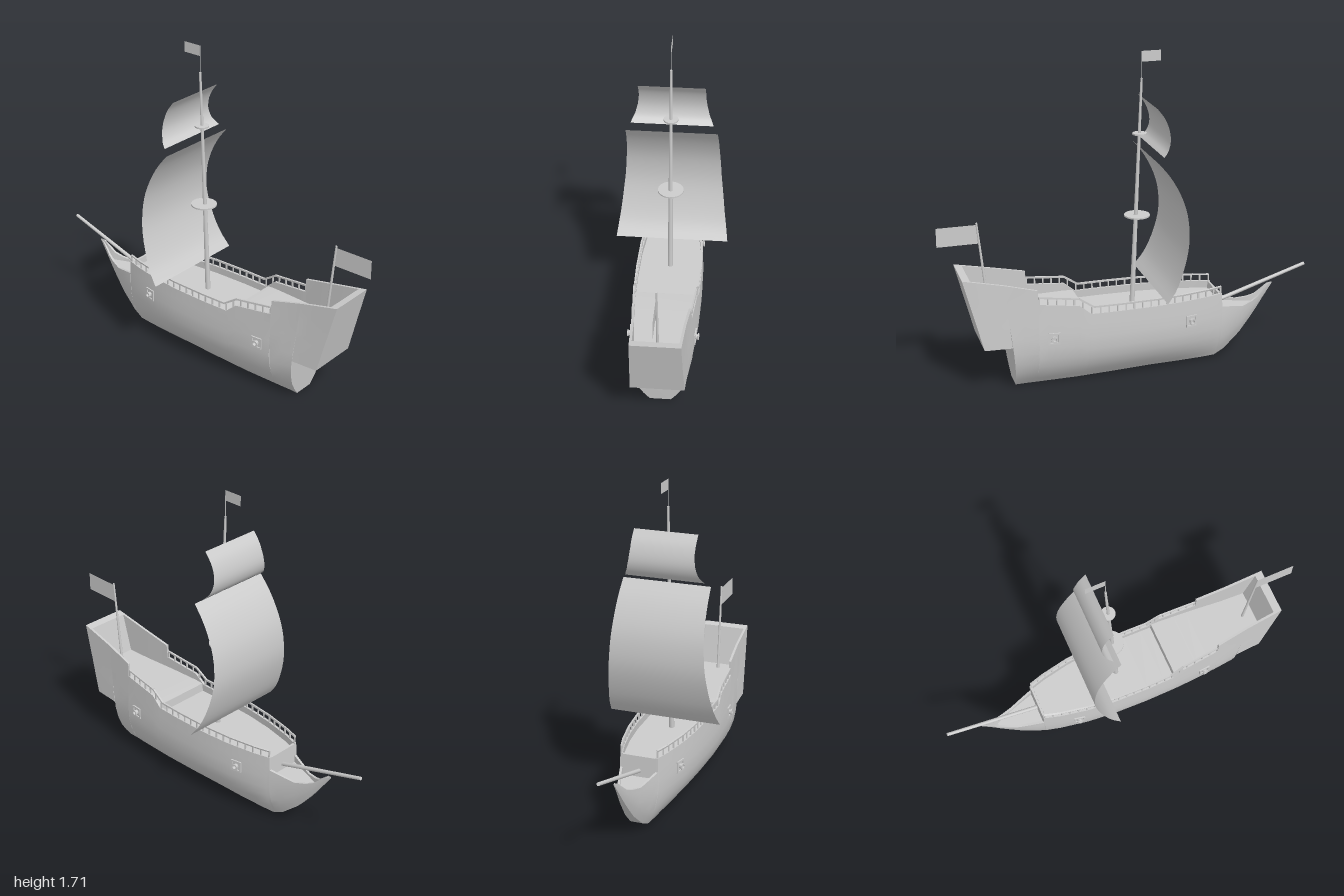
import * as THREE from 'three';
import { toCreasedNormals } from 'three/addons/utils/BufferGeometryUtils.js';

const grey = new THREE.MeshStandardMaterial({ color: 0xcccccc });
const cloth = new THREE.MeshStandardMaterial({ color: 0xcccccc, side: THREE.DoubleSide });
const V = (x, y, z = 0) => new THREE.Vector3(x, y, z);

// Piecewise linear lookup in [key, value] pairs
function look(table, x) {
  if (x <= table[0][0]) return table[0][1];
  for (let i = 1; i < table.length; i++) {
    const [x0, y0] = table[i - 1], [x1, y1] = table[i];
    if (x <= x1) return y0 + (y1 - y0) * (x - x0) / (x1 - x0);
  }
  return table[table.length - 1][1];
}

// Hull lines: keel height, sheer height, deck height, half breadth, section shape, stern rake
const KEEL = [[-.81, .385], [-.76, .315], [-.7, .228], [-.62, .13], [-.53, .05], [-.47, .02], [-.1, .022], [.3, .008], [.655, .003], [.657, .25], [.8, .25]];
const SHEER = [[-.81, .392], [-.785, .385], [-.72, .325], [-.68, .308], [-.62, .296], [-.49, .325], [-.487, .4], [.25, .4], [.31, .45], [.52, .475], [.523, .55], [.8, .635]];
const DECK = [[-.49, .285], [-.487, .4], [-.475, .4], [-.472, .36], [.26, .36], [.263, .41], [.77, .415], [.772, .7]];
const BREADTH = [[-.81, .004], [-.76, .018], [-.7, .038], [-.6, .069], [-.5, .1], [-.4, .13], [-.25, .16], [-.1, .176], [.1, .181], [.3, .177], [.5, .163], [.655, .146], [.8, .137]];
const SECTION = [[0, .36], [.08, .55], [.18, .75], [.3, .89], [.42, .97], [.55, 1], [.75, .98], [1, .95], [1.4, .92]];
const RAKE = [[.52, 0], [.655, .104], [.8, .26]];

function halfWidth(x, y) {
  const base = x > .6 ? 0 : look(KEEL, x);
  return look(BREADTH, x) * look(SECTION, (y - base) / (.45 - base));
}

// One closed cross-section: outer side, rim, inner side, deck, then mirrored
function hullRing(x) {
  const keel = look(KEEL, x), top = look(SHEER, x);
  const deck = Math.max(keel + .002, Math.min(look(DECK, x), look(DECK, x) > top ? top : top - .004));
  const rake = look(RAKE, x);
  const at = (y, inset) => {
    const w = halfWidth(x, y);
    return V(x + rake * (y - .25), y, Math.max(w - inset, w * .4));
  };
  const half = [0, .07, .15, .25, .36, .5, .68, .85, 1].map(t => at(keel + (top - keel) * t, 0));
  half.push(at(top, .013), at(deck, .013));
  return [...half, ...half.slice().reverse().map(p => V(p.x, p.y, -p.z))];
}

function loftHull() {
  const xs = [-.81, -.785, -.76, -.72, -.68, -.62, -.57, -.53, -.49, -.487, -.475, -.472, -.4, -.32, -.25, -.17, -.1, 0,
    .1, .2, .25, .26, .263, .31, .4, .47, .52, .523, .59, .655, .657, .71, .77, .772, .8];
  const rings = xs.map(hullRing), n = rings[0].length, last = rings.length - 1;
  const pos = [], idx = [];
  rings.forEach(r => r.forEach(p => pos.push(p.x, p.y, p.z)));
  for (let i = 0; i < last; i++) for (let j = 0; j < n; j++) {
    const k = (j + 1) % n, a = i * n + j, b = i * n + k, c = b + n, d = a + n;
    idx.push(a, d, c, a, c, b);
  }
  for (let j = 1; j < n - 1; j++) idx.push(0, j, j + 1, last * n, last * n + j + 1, last * n + j);
  const g = new THREE.BufferGeometry();
  g.setAttribute('position', new THREE.Float32BufferAttribute(pos, 3));
  g.setIndex(idx);
  return toCreasedNormals(g, .55);
}

// Tapered round or square bar between two points
function bar(name, a, b, r0, r1 = r0, sides = 12) {
  const dir = b.clone().sub(a);
  let g = new THREE.CylinderGeometry(r1, r0, dir.length(), sides);
  if (sides === 4) g = toCreasedNormals(g.rotateY(Math.PI / 4), .5);
  const m = new THREE.Mesh(g, grey);
  m.name = name;
  m.position.copy(a).add(b).multiplyScalar(.5);
  m.quaternion.setFromUnitVectors(V(0, 1, 0), dir.normalize());
  return m;
}

// Billowing cloth from a side profile [x, y] and a half-width table by height
function sail(name, profile, widths) {
  const curve = new THREE.CatmullRomCurve3(profile.map(p => V(p[0], p[1])));
  const g = new THREE.PlaneGeometry(1, 1, 4, 20), p = g.attributes.position;
  for (let i = 0; i < p.count; i++) {
    const c = curve.getPoint(THREE.MathUtils.clamp(p.getY(i) + .5, 0, 1));
    p.setXYZ(i, c.x, c.y, p.getX(i) * 2 * look(widths, c.y));
  }
  g.computeVertexNormals();
  const m = new THREE.Mesh(g, cloth);
  m.name = name;
  return m;
}

function flag(name, x0, x1, y0, y1) {
  const m = new THREE.Mesh(new THREE.PlaneGeometry(x1 - x0, y1 - y0), cloth);
  m.name = name;
  m.position.set((x0 + x1) / 2, (y0 + y1) / 2, 0);
  return m;
}

// Balustrade along one side: top rail plus evenly spaced posts
function railing(side) {
  const group = new THREE.Group();
  group.name = side > 0 ? 'leftRailing' : 'rightRailing';
  const at = (x, h) => {
    const y = look(SHEER, x);
    return V(x, y + h, side * (halfWidth(x, y) - .0065));
  };
  const stops = [-.482, -.4, -.32, -.25, -.17, -.1, 0, .1, .235, .31, .4, .518];
  for (let i = 1; i < stops.length; i++)
    group.add(bar('handrail', at(stops[i - 1], .036), at(stops[i], .036), .0065, .0065, 4));
  for (let i = 0; i <= 22; i++) {
    const x = -.48 + i * .0453;
    group.add(bar('railPost', at(x, -.005), at(x, .036), .005, .005, 4));
  }
  return group;
}

// Square gun port frame with a short barrel
function gunPort(x, side) {
  const group = new THREE.Group();
  group.name = 'gunPort';
  const square = (path, s) => path.moveTo(-s, -s).lineTo(s, -s).lineTo(s, s).lineTo(-s, s).closePath();
  const shape = square(new THREE.Shape(), .031), hole = square(new THREE.Path(), .022);
  shape.holes.push(hole);
  const frame = new THREE.Mesh(new THREE.ExtrudeGeometry(shape, { depth: .016, bevelEnabled: false }), grey);
  frame.name = 'portFrame';
  frame.position.z = -.01;
  const profile = [[.012, -.03], [.013, .012], [.018, .014], [.018, .02], [.01, .02], [.01, -.005], [0, -.005]];
  const lathe = new THREE.LatheGeometry(profile.map(p => new THREE.Vector2(...p)), 12).rotateX(Math.PI / 2);
  const barrel = new THREE.Mesh(toCreasedNormals(lathe, .6), cloth);
  barrel.name = 'cannonBarrel';
  group.add(frame, barrel);
  const yaw = Math.atan2(halfWidth(x - .03, .285) - halfWidth(x + .03, .285), .06);
  group.position.set(x, .285, side * halfWidth(x, .285));
  group.rotation.y = side > 0 ? yaw : Math.PI - yaw;
  return group;
}

export function createModel() {
  const ship = new THREE.Group();
  ship.name = 'sailingShip';

  const hull = new THREE.Mesh(loftHull(), grey);
  hull.name = 'hull';
  ship.add(hull);

  for (const side of [1, -1]) {
    ship.add(railing(side));
    for (const x of [-.3, .445]) ship.add(gunPort(x, side));
  }

  // Spars
  ship.add(bar('mast', V(-.018, .35), V(-.068, 1.57), .014, .006));
  ship.add(bar('mastFlagpole', V(-.068, 1.56), V(-.068, 1.71), .0018, .0018, 6));
  ship.add(bar('bowsprit', V(-.48, .315), V(-.997, .479), .011, .009));
  ship.add(bar('sternFlagpole', V(.745, .4), V(.795, .89), .008, .005));

  // Lookout platforms
  for (const [x, y, r] of [[-.045, .85, .067], [-.058, 1.285, .037]])
    ship.add(bar('lookoutPlatform', V(x, y - .004), V(x, y + .004), r, r, 24));

  // Sails and flags
  ship.add(sail('mainSail',
    [[-.12, .46], [-.17, .53], [-.212, .63], [-.24, .74], [-.245, .83], [-.232, .93], [-.2, 1.02], [-.15, 1.11], [-.09, 1.185]],
    [[.46, .3], [.6, .278], [.8, .256], [1, .243], [1.185, .235]]));
  ship.add(sail('topSail',
    [[-.122, 1.21], [-.15, 1.24], [-.165, 1.285], [-.162, 1.335], [-.14, 1.395], [-.1, 1.45]],
    [[1.21, .212], [1.25, .19], [1.3, .177], [1.36, .17], [1.45, .17]]));
  ship.add(flag('mastFlag', -.17, -.068, 1.655, 1.71));
  ship.add(flag('sternFlag', .79, 1, .78, .88));
  return ship;
}
